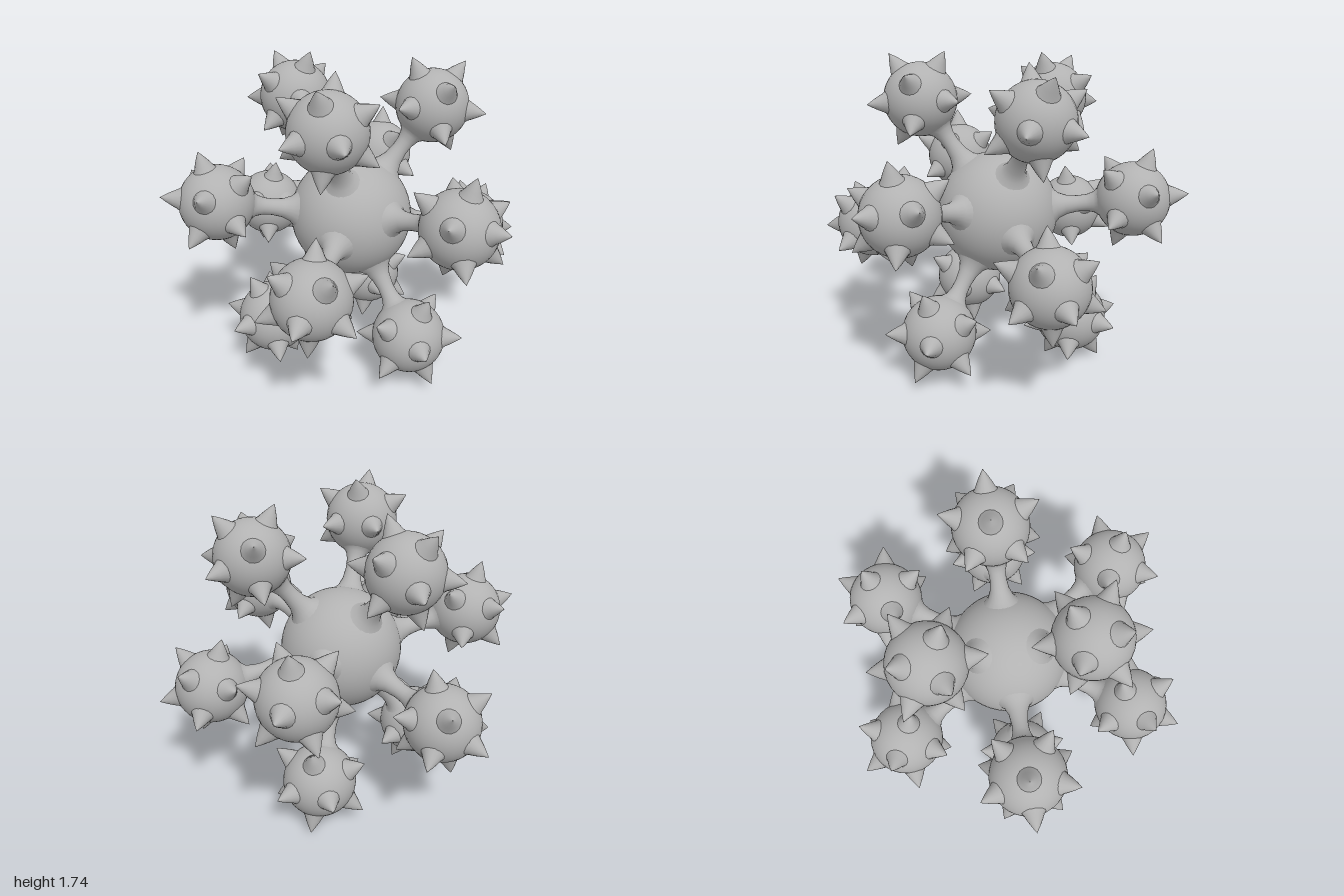
import * as THREE from 'three';

const CORE_RADIUS = 0.335, BALL_RADIUS = 0.2, BALL_DISTANCE = 0.745;
const UP = new THREE.Vector3(0, 1, 0);

// Twelve evenly spread directions: a pole, a ring of five, and their opposites
function twelveDirections(pole, toward, twist) {
  const u = pole.clone().normalize();
  const w = toward.clone().addScaledVector(u, -toward.dot(u)).normalize();
  const v = new THREE.Vector3().crossVectors(u, w);
  const half = [u];
  for (let i = 0; i < 5; i++) {
    const a = twist + (i * Math.PI * 2) / 5;
    half.push(u.clone().multiplyScalar(1 / Math.sqrt(5))
      .addScaledVector(w, (Math.cos(a) * 2) / Math.sqrt(5))
      .addScaledVector(v, (Math.sin(a) * 2) / Math.sqrt(5)));
  }
  return half.concat(half.map((d) => d.clone().negate()));
}

const lathe = (points, sides) =>
  new THREE.LatheGeometry(points.map(([r, y]) => new THREE.Vector2(r, y)), sides);

export function createModel() {
  const model = new THREE.Group();
  model.name = 'spikedClusterBall';
  const grey = new THREE.MeshStandardMaterial({ color: 0xb2b2b2 });
  grey.name = 'plain grey';

  const add = (parent, geometry, name) => {
    const mesh = new THREE.Mesh(geometry, grey);
    mesh.name = name;
    parent.add(mesh);
    return mesh;
  };

  const body = new THREE.Group();
  body.name = 'body';
  body.position.y = 0.875;
  model.add(body);

  // Large central sphere
  add(body, new THREE.SphereGeometry(CORE_RADIUS, 48, 32), 'core');

  const ballGeometry = new THREE.SphereGeometry(BALL_RADIUS, 32, 24);
  // Stem flares into the core and into the ball
  const stemGeometry = lathe([
    [0.1, 0.315], [0.07, 0.345], [0.052, 0.39], [0.044, 0.45],
    [0.046, 0.5], [0.058, 0.54], [0.078, 0.562], [0.1, 0.575],
  ], 20);
  // Short spike with a slightly flared foot
  const spikeGeometry = lathe([
    [0.064, 0.184], [0.05, 0.205], [0.038, 0.23], [0.02, 0.262], [0.0, 0.294],
  ], 16);

  const arms = twelveDirections(
    new THREE.Vector3(0.96, 0.21, 0.18), new THREE.Vector3(0.185, 0.82, 0.54), 0);

  arms.forEach((dir, i) => {
    const stem = add(body, stemGeometry, 'stem');
    stem.quaternion.setFromUnitVectors(UP, dir);

    const ball = new THREE.Group();
    ball.name = 'spikedBall';
    ball.position.copy(dir).multiplyScalar(BALL_DISTANCE);
    body.add(ball);
    add(ball, ballGeometry, 'ball');

    // Eleven spikes; the twelfth place is taken by the stem
    const neighbour = arms.find((d) => Math.abs(d.dot(dir) - 1 / Math.sqrt(5)) < 0.01);
    for (const s of twelveDirections(dir, neighbour, Math.PI / 5)) {
      if (s.dot(dir) < -0.99) continue;
      add(ball, spikeGeometry, 'spike').quaternion.setFromUnitVectors(UP, s);
    }
  });

  return model;
}
